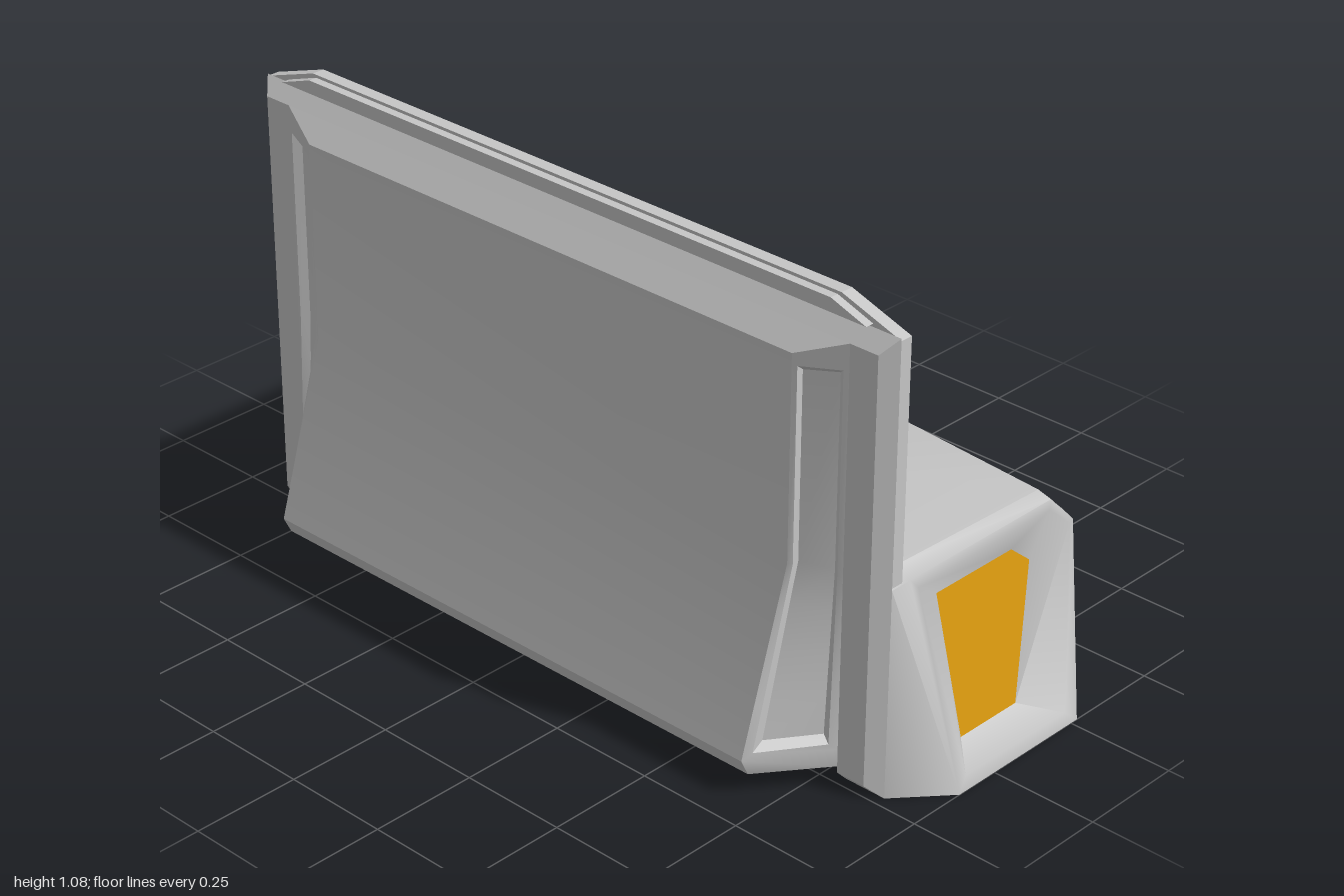
import * as THREE from 'three';
import { toCreasedNormals } from 'three/addons/utils/BufferGeometryUtils.js';

const V = (x, y, z) => new THREE.Vector3(x, y, z);
const mean = (pts) => pts.reduce((s, p) => s.add(p), V(0, 0, 0)).divideScalar(pts.length);

// Collects flat polygons; each triangle is turned to face along the given direction
class Faces {
  constructor() { this.data = []; }
  add(pts, dir) {
    for (let i = 1; i < pts.length - 1; i++) {
      let [a, b, c] = [pts[0], pts[i], pts[i + 1]];
      const n = b.clone().sub(a).cross(c.clone().sub(a));
      if (n.dot(dir) < 0) [b, c] = [c, b];
      this.data.push(a, b, c);
    }
    return this;
  }
  // Band of faces between two matching point rows
  band(r, s, dir) {
    for (let i = 0; i < r.length - 1; i++) this.add([r[i], r[i + 1], s[i + 1], s[i]], dir);
    return this;
  }
  // Border and sunken walls from an outer loop to an opening to a floor
  recess(P, Q, R, out) {
    const c = mean(Q);
    P.forEach((p, i) => {
      const j = (i + 1) % P.length;
      this.add([p, P[j], Q[j], Q[i]], out);
      const w = [Q[i], Q[j], R[j], R[i]];
      this.add(w, c.clone().sub(mean(w)).addScaledVector(out, 0.1));
    });
    return this;
  }
  mesh(name, mat, crease, mirrored = false) {
    const pts = [];
    for (let i = 0; i < this.data.length; i += 3) {
      const t = this.data.slice(i, i + 3);
      pts.push(...(mirrored ? [t[0], t[2], t[1]].map((p) => V(-p.x, p.y, p.z)) : t));
    }
    const m = new THREE.Mesh(toCreasedNormals(new THREE.BufferGeometry().setFromPoints(pts), crease), mat);
    m.name = name;
    return m;
  }
}

export function createModel() {
  const group = new THREE.Group();
  const grey = new THREE.MeshStandardMaterial({ color: 0xc6c6c6, side: THREE.DoubleSide });
  grey.name = 'light grey';
  const amber = new THREE.MeshStandardMaterial({ color: 0xe09e10, side: THREE.DoubleSide });
  amber.name = 'amber';

  const both = (faces, name, mat, crease = 0.5) => {
    group.add(faces.mesh(name + 'Left', mat, crease), faces.mesh(name + 'Right', mat, crease, true));
  };
  const box = (name, mat, x, y0, y1, z0, z1) => {
    const m = new THREE.Mesh(new THREE.BoxGeometry(2 * x, y1 - y0, z1 - z0), mat);
    m.position.set(0, (y0 + y1) / 2, (z0 + z1) / 2);
    m.name = name;
    group.add(m);
  };
  // Symmetric upright plate from the points of its +x edge, bottom to top
  const plate = (name, edge, z, depth) => {
    const loop = [...edge, ...edge.map(([x, y]) => [-x, y]).reverse()];
    const shape = new THREE.Shape(loop.map(([x, y]) => new THREE.Vector2(x, y)));
    const m = new THREE.Mesh(new THREE.ExtrudeGeometry(shape, { depth, bevelEnabled: false }), grey);
    m.position.z = z;
    m.name = name;
    group.add(m);
  };

  // Backrest with clipped top corners, narrower inside the hollow seat, and its top rail
  plate('backrest', [[0.69, 0.045], [0.69, 0.49], [0.9, 0.49], [0.9, 1.03], [0.75, 1.08]], 0.195, 0.03);
  plate('topRail', [[0.83, 1.042], [0.74, 1.073]], 0.225, 0.02);

  // Bevelled frame around the front panel
  const b0 = V(0.9, 0, 0.225), b1 = V(0.9, 1.035, 0.225), f0 = V(0.87, 0.03, 0.255), f1 = V(0.87, 1, 0.255);
  const frame = new Faces()
    .add([V(0.8, 0.03, 0.255), f0, f1, V(0.8, 1, 0.255)], V(0, 0, 1))
    .add([b0, b1, f1, f0], V(1, 0, 1))
    .add([V(0.8, 0, 0.225), b0, f0, V(0.8, 0.03, 0.255)], V(0, -1, 1))
    .add([f1, b1, V(0, 1.035, 0.225), V(0, 1, 0.255)], V(0, 1, 1));
  both(frame, 'frontFrame', grey);

  // Light strips on the back of the backrest
  box('topLight', amber, 0.77, 1.04, 1.064, 0.194, 0.196);
  box('backrestLight', amber, 0.027, 0.05, 1.015, 0.19, 0.196);

  // Wedge shaped backrest cushions
  const cf = [V(0.065, 0.5, 0.172), V(0.855, 0.5, 0.172), V(0.855, 1.0, 0.184), V(0.065, 1.0, 0.184)];
  const cb = [V(0.05, 0.49, 0.195), V(0.87, 0.49, 0.195), V(0.87, 1.015, 0.195), V(0.05, 1.015, 0.195)];
  const cushion = new Faces().add(cf, V(0, 0, -1));
  cf.forEach((p, i) => {
    const j = (i + 1) % 4;
    cushion.add([p, cf[j], cb[j], cb[i]], V(0, 0, -1));
  });
  both(cushion, 'backCushion', grey);

  // Seat shell, lofted from the centre groove to the end
  const section = (x, zf, d) => [V(x, 0.512 - d, 0.195), V(x, 0.498 - d, zf + 0.083),
    V(x, 0.42 - d, zf), V(x, 0.03, zf), V(x, 0.015, zf + 0.02)];
  const sections = [[0, -0.408, 0.008], [0.027, -0.408, 0.008], [0.045, -0.408, 0.008],
    [0.06, -0.421, 0], [0.87, -0.348, 0]].map((s) => section(...s));
  const loft = (faces, a, b) => faces
    .band(a.slice(0, 4), b.slice(0, 4), V(0, 1, -1))
    .band(a.slice(3), b.slice(3), V(0, -1, -1));
  both(loft(new Faces(), sections[0], sections[1]), 'seatLight', amber);
  const seat = new Faces();
  for (let i = 1; i < 4; i++) loft(seat, sections[i], sections[i + 1]);
  both(seat, 'seat', grey);

  // Flared seat ends with a sunken amber panel
  const flare = ([z, y]) => V(1 - 0.1 * y / 0.485, y, z);
  const P = [[0.11, 0], [0.17, 0.485], [-0.27, 0.485], [-0.33, 0.42], [-0.27, 0]].map(flare);
  const Q = [[0.085, 0.03], [0.15, 0.462], [-0.262, 0.465], [-0.318, 0.415], [-0.235, 0.03]].map(flare);
  const R = [[0.025, 0.065], [0.075, 0.41], [-0.16, 0.41], [-0.215, 0.365], [-0.15, 0.065]]
    .map(([z, y]) => V(0.937 - 0.115 * y, y, z));
  const [s0, s1, s2, s3, s4] = sections[4];
  const corner = V(0.9, 0.485, 0.225);
  const end = new Faces().recess(P, Q, R, V(1, 0, 0))
    .add([s0, s1, P[2], P[1]], V(0.3, 1, 0))
    .add([s0, P[1], corner], V(0.3, 1, 0))
    .add([s1, s2, P[3], P[2]], V(1, 1, -1))
    .add([s2, s3, P[4], P[3]], V(1, 0, -1))
    .add([s3, s4, P[4]], V(0, -1, 0))
    .add([P[0], P[1], corner, b0], V(1, 0, 1));
  both(end, 'seatEnd', grey, 0.9);
  both(new Faces().add(R, V(1, 0, 0)), 'sidePanel', amber);

  // Grey backing inside each amber panel
  const centre = mean(R);
  const backing = R.map((p) => p.clone().lerp(centre, 0.1).add(V(-0.008, 0, 0)));
  both(new Faces().add(backing, V(-1, 0, 0)), 'panelBacking', grey);

  // Sloped front panel: profile as [y, z] from the bottom up
  const profile = [[0.045, 0.4], [0.085, 0.42], [0.49, 0.295], [0.955, 0.295]];
  const row = (s) => [V(s * 0.8, 0.045, 0.255), ...profile.map(([y, z]) => V(s * 0.69, y, z)), V(s * 0.8, 1, 0.255)];
  const left = row(1), right = row(-1);
  const panel = new Faces()
    .band(left.slice(0, 2), right.slice(0, 2), V(0, -1, 0))
    .band(left.slice(1), right.slice(1), V(0, 0, 1));
  group.add(panel.mesh('frontPanel', grey, 0.5));

  // Slanted panel sides with long sunken slots
  const levels = [0.2, 0.3, 0.4, 0.49];
  const sidePoint = (u, y, dx, dz) => {
    const zf = 0.295 + 0.125 * Math.max(0, 0.49 - y) / 0.405;
    return V(0.69 + 0.11 * u - dx, y, zf + (0.255 - zf) * u - dz);
  };
  const loop = (t, yLow, yHigh, yBackTop, dx, dz) => [
    ...[yLow, ...levels, yHigh].map((y) => sidePoint(t, y, dx, dz)),
    ...[yLow, ...levels, yBackTop].reverse().map((y) => sidePoint(1 - t, y, dx, dz))];
  const outer = loop(0, 0.085, 0.955, 1, 0, 0);
  const opening = loop(0.1, 0.1, 0.93, 0.94, 0, 0);
  const floor = loop(0.17, 0.115, 0.915, 0.925, 0.01, 0.016);
  const sideDir = V(1, 0, 0.6);
  const side = new Faces().recess(outer, opening, floor, sideDir)
    .band(floor.slice(0, 6), floor.slice(6).reverse(), sideDir)
    .add([left[0], left[1], left[2], outer[11]], sideDir);
  both(side, 'frontPanelSide', grey);

  return group;
}
